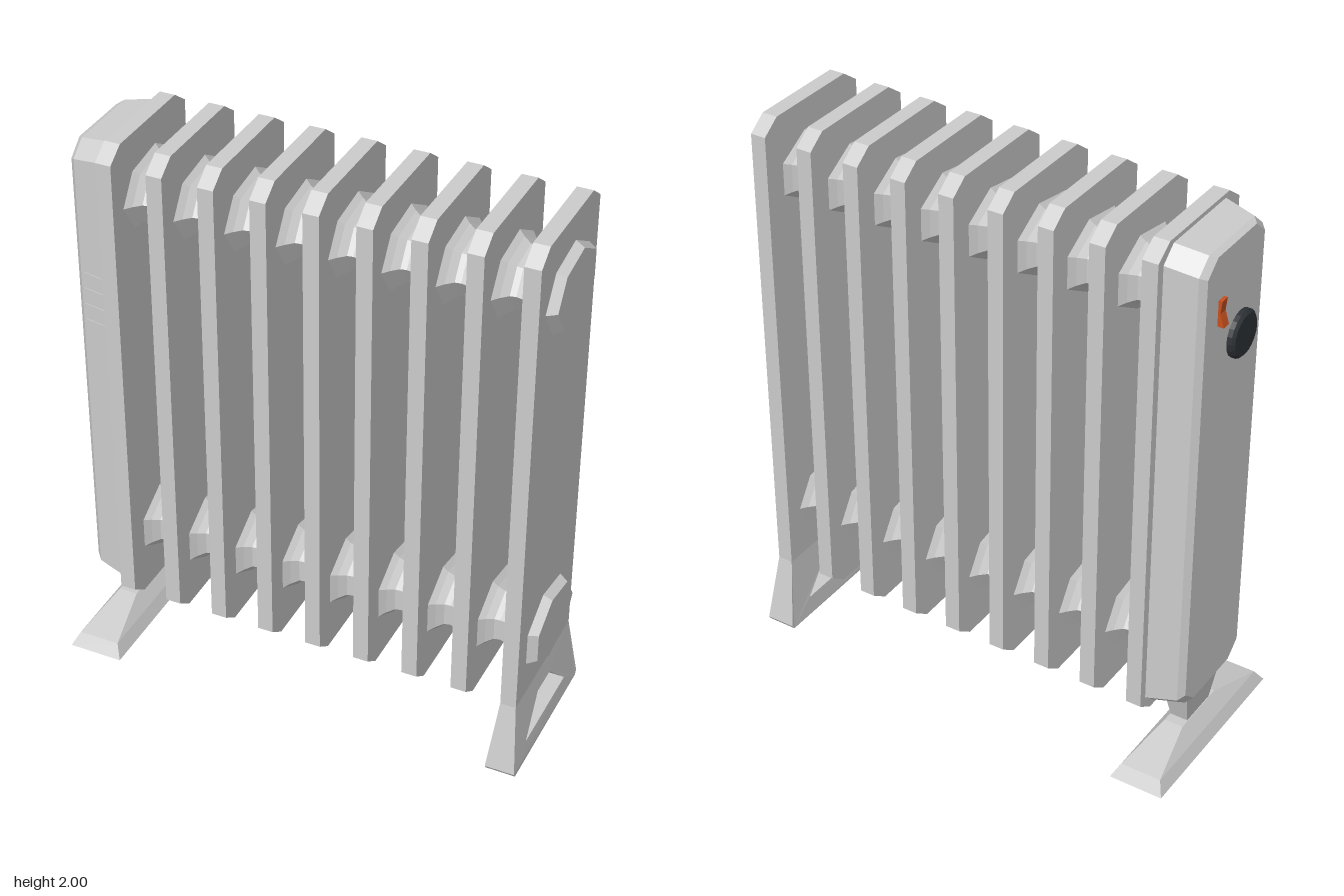
import * as THREE from 'three';

const paint = (color) => new THREE.MeshStandardMaterial({ color, flatShading: true });
const body = paint(0xcccccc);
const dark = paint(0x2e3236);
const orange = paint(0xc8501e);

const FIN_COUNT = 9, FIN_START = -0.655, FIN_STEP = 0.1785, FIN_HALF = 0.0275;
const finX = (i) => FIN_START + i * FIN_STEP;

// Skin a row of closed rings (counter-clockwise seen from the last ring) and cap both ends
function loft(rings) {
  const pos = [];
  const tri = (...pts) => pts.forEach((p) => pos.push(...p));
  const n = rings[0].length;
  for (let i = 0; i < rings.length - 1; i++) {
    for (let j = 0; j < n; j++) {
      const k = (j + 1) % n;
      const a = rings[i][j], b = rings[i][k], c = rings[i + 1][k], d = rings[i + 1][j];
      tri(a, b, c);
      tri(a, c, d);
    }
  }
  const first = rings[0], last = rings[rings.length - 1];
  for (let j = 1; j < n - 1; j++) {
    tri(first[0], first[j + 1], first[j]);
    tri(last[0], last[j], last[j + 1]);
  }
  const geo = new THREE.BufferGeometry();
  geo.setAttribute('position', new THREE.Float32BufferAttribute(pos, 3));
  geo.computeVertexNormals();
  return geo;
}

// Extrude a z/y outline along x, centred on x = 0
function plate(points, hole) {
  const shape = new THREE.Shape(points.map(([z, y]) => new THREE.Vector2(z, y)));
  if (hole) shape.holes.push(new THREE.Path(hole.map(([z, y]) => new THREE.Vector2(z, y))));
  const geo = new THREE.ExtrudeGeometry(shape, { depth: FIN_HALF * 2, bevelEnabled: false });
  return geo.translate(0, 0, -FIN_HALF).rotateY(Math.PI / 2);
}

// Rectangle across y and z with cut corners, at a given x
function cutRect(x, yb, yt, zo) {
  const cy = 0.05, zi = zo - 0.057;
  return [[yt, -zi], [yt, zi], [yt - cy, zo], [yb + cy, zo],
    [yb, zi], [yb, -zi], [yb + cy, -zo], [yt - cy, -zo]].map(([y, z]) => [x, y, z]);
}

// Rectangle across x and z, at a given y
const flatRect = (y, x0, x1, z) => [[x0, y, z], [x1, y, z], [x1, y, -z], [x0, y, -z]];

// Seven-sided oil channel: waisted between fins, with a bevelled end cap
function channel(cy, flip) {
  const ring = (x, s) => Array.from({ length: 7 }, (_, j) => {
    const a = (j / 7) * Math.PI * 2 + (flip ? Math.PI : 0);
    return [x, cy + Math.sin(a) * 0.139 * s, Math.cos(a) * 0.19 * s];
  }).reverse();
  const waist = [[0, 0.95], [0.15, 0.82], [0.34, 0.7], [0.5, 0.68], [0.66, 0.7], [0.85, 0.82], [1, 0.95]];
  const gap = FIN_STEP - FIN_HALF * 2;
  const rings = [];
  for (let i = 0; i < FIN_COUNT - 1; i++) {
    for (const [t, s] of waist) rings.push(ring(finX(i) + FIN_HALF + t * gap, s));
  }
  const end = finX(FIN_COUNT - 1) + FIN_HALF;
  rings.push(ring(end, 1), ring(0.832, 0.88));
  return loft(rings);
}

export function createModel() {
  const model = new THREE.Group();
  model.name = 'oilRadiator';
  const add = (name, geo, mat = body) => {
    const mesh = new THREE.Mesh(geo, mat);
    mesh.name = name;
    model.add(mesh);
    return mesh;
  };

  // Heating fins
  const top = [[0.245, 1.953], [0.18, 2], [-0.18, 2], [-0.245, 1.953]];
  const finGeo = plate([...top, [-0.245, 0.267], [-0.18, 0.22], [0.18, 0.22], [0.245, 0.267]]);
  for (let i = 0; i < FIN_COUNT - 1; i++) add('fin', finGeo).position.x = finX(i);

  // End fin, which runs down into a flared leg with an opening
  const legTop = 0.265;
  const endX = finX(FIN_COUNT - 1);
  add('endFin', plate([...top, [-0.245, legTop], [0.245, legTop]])).position.x = endX;
  const leg = plate(
    [[0.245, legTop], [-0.245, legTop], [-0.294, 0.015], [-0.284, 0], [0.284, 0], [0.294, 0.015]],
    [[-0.18, 0.07], [0.18, 0.07], [0.055, 0.19], [-0.055, 0.19]]);
  const p = leg.attributes.position;
  for (let i = 0; i < p.count; i++) {
    const t = Math.min(1, (legTop - p.getY(i)) / (legTop - 0.015));
    p.setX(i, Math.sign(p.getX(i)) * (FIN_HALF + 0.025 * t));
  }
  leg.computeVertexNormals();
  add('endLeg', leg).position.x = endX;

  // Oil channels
  add('upperChannel', channel(1.766, false));
  add('lowerChannel', channel(0.459, true));

  // Control housing
  add('controlHousing', loft([
    cutRect(-0.81, 0.275, 1.955, 0.175),
    cutRect(-0.79, 0.258, 1.966, 0.195),
    cutRect(-0.68, 0.235, 1.985, 0.215),
  ]));

  // Vent slats on the front of the housing
  for (let i = 0; i < 4; i++) {
    const vent = add('ventSlat', new THREE.BoxGeometry(0.088, 0.036, 0.012));
    vent.position.set(-0.735, 1.487 - i * 0.06, 0.202);
    vent.rotation.y = -0.18;
  }

  // Thermostat knob
  const knobProfile = [[0, -0.015], [0.08, -0.015], [0.08, 0.016], [0.07, 0.025], [0, 0.025]];
  const knob = add('thermostatKnob',
    new THREE.LatheGeometry(knobProfile.map(([r, y]) => new THREE.Vector2(r, y)), 20), dark);
  knob.rotation.z = Math.PI / 2;
  knob.position.set(-0.81, 1.612, 0.045);

  // Rocker switch
  const rocker = new THREE.Shape([[-0.8, 1.71], [-0.8, 1.8], [-0.823, 1.8], [-0.818, 1.755], [-0.832, 1.71]]
    .map(([x, y]) => new THREE.Vector2(x, y)));
  add('powerSwitch', new THREE.ExtrudeGeometry(rocker, { depth: 0.032, bevelEnabled: false }), orange)
    .position.z = -0.101;

  // Foot below the housing: tapering neck on a sloped pad
  add('footNeck', loft([
    flatRect(0.11, -0.768, -0.707, 0.07),
    flatRect(0.29, -0.787, -0.688, 0.12),
  ]));
  add('footPad', loft([
    flatRect(0.025, -0.835, -0.64, 0.357),
    flatRect(0.07, -0.812, -0.664, 0.326),
    flatRect(0.122, -0.772, -0.704, 0.11),
  ]));

  return model;
}
